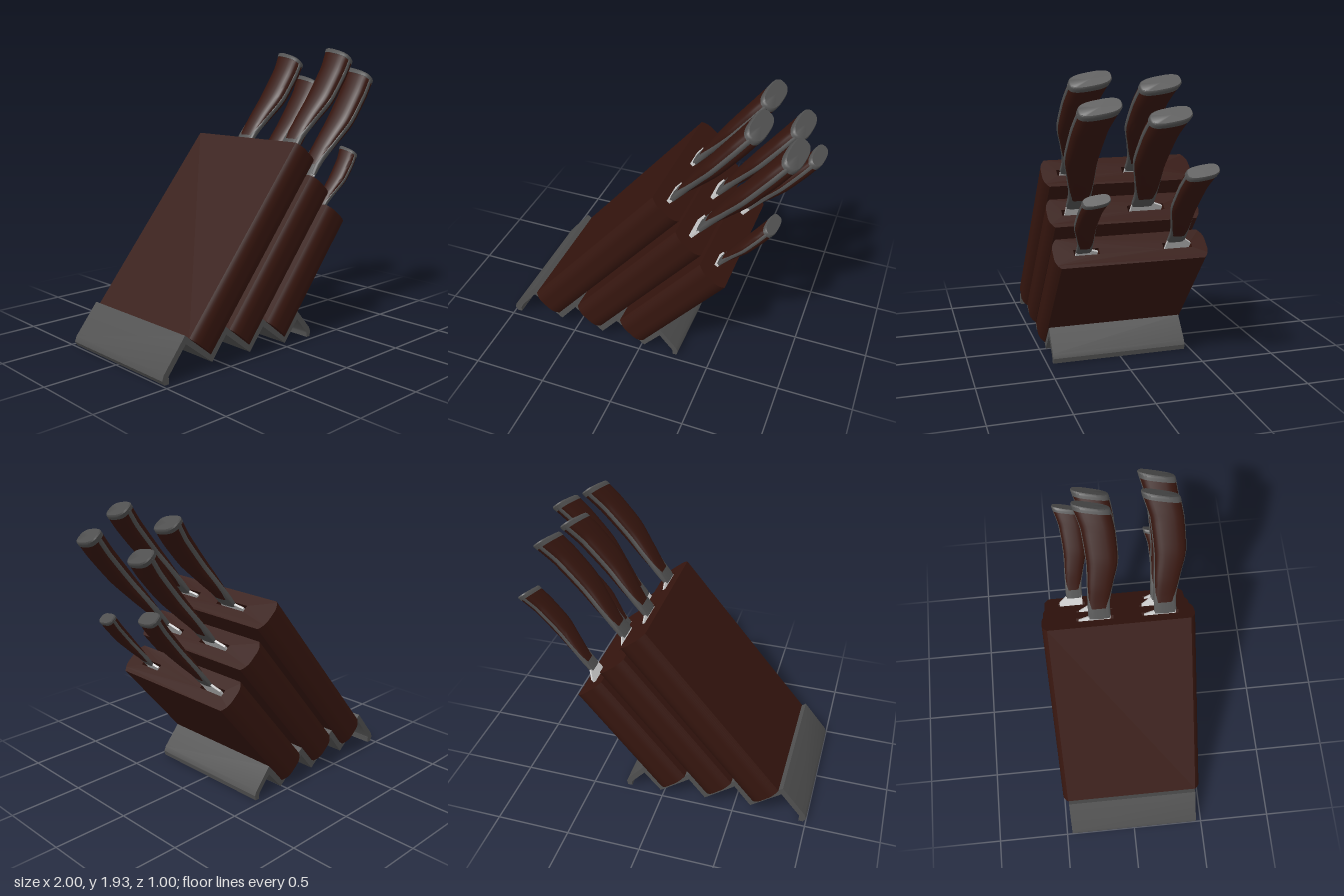
import * as THREE from 'three';
import { toCreasedNormals } from 'three/addons/utils/BufferGeometryUtils.js';

const wood = new THREE.MeshStandardMaterial({ color: 0x35150e });
const steel = new THREE.MeshStandardMaterial({ color: 0x505050 });
const bright = new THREE.MeshStandardMaterial({ color: 0xcccccc });

function addMesh(parent, name, geometry, material) {
  const mesh = new THREE.Mesh(geometry, material);
  mesh.name = name;
  parent.add(mesh);
  return mesh;
}

// Closed skin through rounded sections { y, z, h (half x), w (half z), tilt }
function loft(sections, power) {
  const N = 28, pos = [], idx = [];
  const round = v => Math.sign(v) * Math.pow(Math.abs(v), power);
  for (const s of sections) {
    for (let k = 0; k < N; k++) {
      const a = (k / N) * Math.PI * 2, c = round(Math.cos(a)), d = round(Math.sin(a));
      pos.push(s.h * c, s.y - s.tilt * d, s.z + s.w * d);
    }
  }
  const last = sections.length - 1;
  for (let i = 0; i < last; i++) {
    for (let k = 0; k < N; k++) {
      const a = i * N + k, b = i * N + (k + 1) % N;
      idx.push(a, a + N, b, b, a + N, b + N);
    }
  }
  for (const i of [0, last]) {
    const centre = pos.length / 3;
    pos.push(0, sections[i].y, sections[i].z);
    for (let k = 0; k < N; k++) {
      const a = i * N + k, b = i * N + (k + 1) % N;
      idx.push(centre, i ? b : a, i ? a : b);
    }
  }
  const g = new THREE.BufferGeometry();
  g.setAttribute('position', new THREE.Float32BufferAttribute(pos, 3));
  g.setIndex(idx);
  return toCreasedNormals(g, 0.7);
}

// Handle stations: fraction of length, sideways bend, half width, half thickness
const STATIONS = [
  [0, 0, 0.07, 0.016], [0.12, 0, 0.068, 0.024], [0.3, 0.018, 0.08, 0.042],
  [0.55, 0.045, 0.1, 0.058], [0.8, 0.035, 0.105, 0.062], [1, 0, 0.118, 0.06],
];
const bendCurve = new THREE.CatmullRomCurve3(STATIONS.map(s => new THREE.Vector3(s[1], s[2], s[3])));

function station(f) {
  let i = 0;
  while (i < STATIONS.length - 2 && f > STATIONS[i + 1][0]) i++;
  const local = (f - STATIONS[i][0]) / (STATIONS[i + 1][0] - STATIONS[i][0]);
  return bendCurve.getPoint((i + local) / (STATIONS.length - 1));
}

// Handle with bolster, wooden scales, visible tang and end cap, plus the blade
function makeKnife({ z, start, end, size }) {
  const knife = new THREE.Group();
  knife.name = 'knife';
  const run = (from, to, steps, change = s => s) => {
    const list = [];
    for (let i = 0; i <= steps; i++) {
      const f = from + (to - from) * i / steps, p = station(f);
      list.push(change({
        y: start + (end - start) * f, z: z + p.x * size, w: p.y * size, h: p.z * size,
        tilt: 0.028 * size * f ** 3,
      }));
    }
    return list;
  };
  addMesh(knife, 'bolster', loft(run(0, 0.1, 3), 0.7), steel);
  addMesh(knife, 'handleScales', loft(run(0.1, 0.96, 22), 0.7), wood);
  addMesh(knife, 'tang', loft(run(0.02, 0.97, 22,
    s => ({ ...s, h: Math.min(s.h * 0.9, 0.022 * size), w: s.w + 0.004 })), 0.45), steel);
  const cap = run(0.955, 0.99, 2, s => ({ ...s, h: s.h + 0.002, w: s.w + 0.003 }));
  const rim = cap[cap.length - 1];
  cap.push({ ...rim, y: rim.y + 0.008, h: rim.h * 0.9, w: rim.w * 0.95 });
  addMesh(knife, 'endCap', loft(cap, 0.7), steel);

  // Blade with a sloping heel; shape x is -z
  const w = 0.07 * size, depth = -0.45, heel = 0.14 * size;
  const outline = new THREE.Shape([
    [-w, depth], [heel * 0.4, depth], [heel, -0.2], [heel, start * 0.4],
    [w, start + 0.02], [-w, start + 0.02],
  ].map(p => new THREE.Vector2(...p)));
  const blade = new THREE.ExtrudeGeometry(outline, { depth: 0.014, bevelEnabled: false });
  blade.translate(0, 0, -0.007).rotateY(Math.PI / 2).translate(0, 0, z);
  addMesh(knife, 'blade', blade, bright);
  return knife;
}

// Wooden slab with softened side edges and slots, top face at y = 0
function makeSlab(length, knives) {
  const a = 0.11, b = 0.5, s = new THREE.Shape();
  s.moveTo(-a, -0.465);
  s.quadraticCurveTo(-0.075, -b, -0.03, -b);
  s.lineTo(0.03, -b);
  s.quadraticCurveTo(0.075, -b, a, -0.465);
  s.lineTo(a, 0.465);
  s.quadraticCurveTo(0.075, b, 0.03, b);
  s.lineTo(-0.03, b);
  s.quadraticCurveTo(-0.075, b, -a, 0.465);
  s.closePath();
  for (const k of knives) {
    const near = -k.z - 0.09 * k.size, far = -k.z + 0.155 * k.size;
    s.holes.push(new THREE.Path([[-0.023, near], [-0.023, far], [0.023, far], [0.023, near]]
      .map(p => new THREE.Vector2(...p))));
  }
  const g = new THREE.ExtrudeGeometry(s, { depth: length, bevelEnabled: false, curveSegments: 8 });
  g.rotateX(-Math.PI / 2).translate(0, -length, 0);
  return toCreasedNormals(g, 0.5);
}

// Bent sheet: a centre line thickened with mitred corners
function makeBase() {
  const line = [
    [-0.952, 0.02], [-0.972, 0.019], [-0.98, 0.032], [-0.972, 0.055], [-0.825, 0.238],
    [-0.62, 0.075], [-0.505, 0.22], [-0.3, 0.056], [-0.185, 0.197], [0.02, 0.037],
    [0.14, 0.175], [0.243, 0.055], [0.253, 0.032], [0.25, 0.018], [0.235, 0.018],
  ].map(p => new THREE.Vector2(...p));
  const half = 0.019, upper = [], lower = [];
  line.forEach((p, i) => {
    const d0 = p.clone().sub(line[Math.max(i - 1, 0)]).normalize();
    const d1 = line[Math.min(i + 1, line.length - 1)].clone().sub(p).normalize();
    if (i === 0) d0.copy(d1);
    if (i === line.length - 1) d1.copy(d0);
    const m = d0.clone().add(d1).normalize();
    const reach = half / Math.max(0.6, m.dot(d0));
    const n = new THREE.Vector2(-m.y, m.x).multiplyScalar(reach);
    upper.push(p.clone().add(n));
    lower.unshift(p.clone().sub(n));
  });
  for (const p of [...upper, ...lower]) p.y = Math.max(p.y, 0);
  const g = new THREE.ExtrudeGeometry(new THREE.Shape([...upper, ...lower]), { depth: 0.92, bevelEnabled: false });
  return toCreasedNormals(g.translate(0, 0, -0.46), 0.6);
}

export function createModel() {
  const model = new THREE.Group();
  model.name = 'knifeBlock';
  addMesh(model, 'baseSheet', makeBase(), steel);

  // Three leaning tiers, each holding two knives
  const tiers = [
    { x: 0.185, y: 1.26, length: 1.413, knives: [
      { z: 0.31, start: 0, end: 0.81, size: 1 }, { z: -0.12, start: 0, end: 0.77, size: 1 }] },
    { x: 0.335, y: 1.033, length: 1.143, knives: [
      { z: 0.315, start: 0.05, end: 0.93, size: 1 }, { z: -0.115, start: 0.03, end: 0.85, size: 1 }] },
    { x: 0.5, y: 0.815, length: 0.894, knives: [
      { z: -0.28, start: 0.05, end: 0.725, size: 0.78 }, { z: 0.31, start: 0, end: 0.51, size: 0.66 }] },
  ];
  for (const t of tiers) {
    const tier = new THREE.Group();
    tier.name = 'tier';
    tier.position.set(t.x, t.y, 0);
    tier.rotation.z = -0.691;
    addMesh(tier, 'slab', makeSlab(t.length, t.knives), wood);
    for (const k of t.knives) tier.add(makeKnife(k));
    model.add(tier);
  }
  return model;
}
